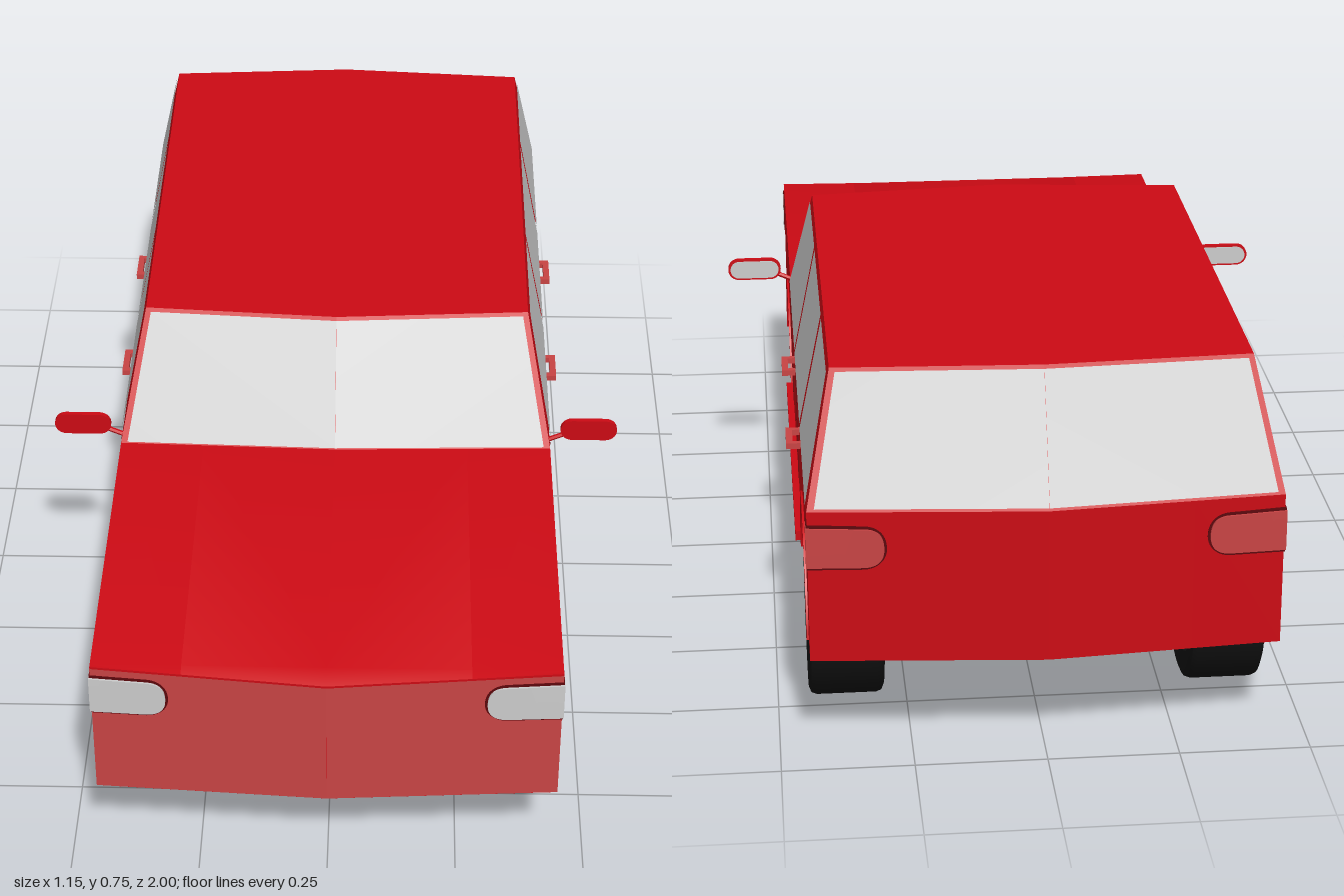
import * as THREE from 'three';
import { mergeGeometries, toCreasedNormals } from 'three/addons/utils/BufferGeometryUtils.js';

const paint = (color) => new THREE.MeshStandardMaterial({ color });
const RED = paint(0xcc0a14), PALE_RED = paint(0xc84444), DARK_RED = paint(0x5c060b);
const BLACK = paint(0x111111), GREY = paint(0xcccccc);

const HALF = 0.44, FLOOR = 0.21, BELT = 0.512, WHEEL_R = 0.175, ARCH_R = 0.212;
const AXLES = [0.58, -0.66];
const V = (x, y, z) => new THREE.Vector3(x, y, z);

// The nose and tail are bowed: furthest out on the centre line
const inward = (x) => 1 - Math.min(1, Math.abs(x) / HALF);
const noseZ = (x) => 0.97 + 0.028 * inward(x);
const tailZ = (x) => -0.965 - 0.035 * inward(x);

// Move every vertex by a rule
function warp(geo, rule) {
  const p = geo.attributes.position, v = new THREE.Vector3();
  for (let i = 0; i < p.count; i++) {
    v.fromBufferAttribute(p, i);
    rule(v);
    p.setXYZ(i, v.x, v.y, v.z);
  }
  return geo;
}

// Flat convex panel from its corners, lifted along its normal
function panel(points, lift = 0) {
  const n = V(0, 0, 0).crossVectors(
    points[1].clone().sub(points[0]), points[2].clone().sub(points[0])).normalize();
  const tri = [];
  for (let i = 1; i < points.length - 1; i++) {
    tri.push(...[points[0], points[i], points[i + 1]].map((p) => p.clone().addScaledVector(n, lift)));
  }
  return new THREE.BufferGeometry().setFromPoints(tri);
}

// Part of a four-cornered face: u along the base, v upwards
function inset([a, b, c, d], u0, u1, v0, v1) {
  const at = (u, v) => a.clone().lerp(b, u).lerp(d.clone().lerp(c, u), v);
  return [at(u0, v0), at(u1, v0), at(u1, v1), at(u0, v1)];
}

function box(x0, x1, y0, y1, z0, z1) {
  return new THREE.BoxGeometry(x1 - x0, y1 - y0, z1 - z0)
    .translate((x0 + x1) / 2, (y0 + y1) / 2, (z0 + z1) / 2);
}

const extrude = (shape, depth, curveSegments = 24) =>
  new THREE.ExtrudeGeometry(shape, { depth, bevelEnabled: false, curveSegments });

// Side-view shape (z, y) extruded between two x positions
const sideways = (shape, x0, x1) =>
  extrude(shape, x1 - x0).rotateY(-Math.PI / 2).translate(x1, 0, 0);

function mirrored(geo) {
  const g = geo.clone().scale(-1, 1, 1);
  for (const a of Object.values(g.attributes)) {
    const s = a.itemSize;
    for (let i = 0; i < a.count; i += 3) {
      for (let k = 0; k < s; k++) {
        const m = (i + 1) * s + k, t = a.array[m];
        a.array[m] = a.array[m + s];
        a.array[m + s] = t;
      }
    }
  }
  return g;
}

// Side profile of the lower body, with or without wheel arches
function bodyShape(arches) {
  const s = new THREE.Shape();
  s.moveTo(-0.965, FLOOR);
  if (arches) {
    const a = Math.asin((FLOOR - WHEEL_R) / ARCH_R);
    for (const z of [...AXLES].reverse()) {
      s.lineTo(z - ARCH_R * Math.cos(a), FLOOR);
      s.absarc(z, WHEEL_R, ARCH_R, Math.PI - a, a, true);
    }
  }
  [[0.97, FLOOR], [0.97, 0.505], [0.962, 0.505], [0.27, BELT], [-0.965, BELT]]
    .forEach(([z, y]) => s.lineTo(z, y));
  return s;
}

function bowBody(v) {
  if (v.z > 0.968) {
    if (v.y > 0.5) v.y -= 0.015 * inward(v.x);
    v.z = noseZ(v.x);
  } else if (v.z < -0.96) v.z = tailZ(v.x);
  else if (v.z > 0.2 && v.z < 0.3 && v.y > 0.5) v.y += 0.012 * inward(v.x);
}

// Lamp outline: rounded inner end, straight outer end; grow makes the rim
function lampShape(grow) {
  const l = 0.3 - grow, b = 0.403 - grow, t = 0.482 + grow, o = HALF + 0.003 - grow * 0.2;
  const s = new THREE.Shape();
  s.moveTo(o, b);
  s.lineTo(0.34, b);
  s.bezierCurveTo(0.315, b, l, 0.415, l, 0.44);
  s.bezierCurveTo(l, 0.465, 0.31, t - 0.004, 0.335, t - 0.003);
  s.lineTo(o, t);
  return s;
}

function ringShape(outer, inner, from, to) {
  const s = new THREE.Shape();
  s.absarc(0, 0, outer, from, to, false);
  s.absarc(0, 0, inner, to, from, true);
  return s;
}

export function createModel() {
  const car = new THREE.Group();
  car.name = 'stationWagon';

  // Every part is made on the left (+x) and mirrored to the right
  function add(name, geo, material, parent = car) {
    const flat = toCreasedNormals(geo.index ? geo.toNonIndexed() : geo, 0.5);
    for (const [side, g] of [['left', flat], ['right', mirrored(flat)]]) {
      const mesh = new THREE.Mesh(g, material);
      mesh.name = side + name;
      parent.add(mesh);
    }
  }

  // Lower body: solid core and outer flank with wheel arches
  add('BodyCore', warp(sideways(bodyShape(false), 0, 0.27), bowBody), RED);
  add('BodyFlank', warp(sideways(bodyShape(true), 0.27, HALF), bowBody), RED);
  add('FrontPanel', panel([V(0, 0.212, noseZ(0)), V(HALF, 0.212, 0.97),
    V(HALF, 0.502, 0.97), V(0, 0.487, noseZ(0))], 0.002), PALE_RED);

  // Cabin
  const base = [V(0, 0.524, 0.3), V(HALF, BELT, 0.27), V(HALF, BELT, -0.965), V(0, BELT, -1)];
  const roof = [V(0, 0.755, 0.16), V(0.39, 0.753, 0.13), V(0.39, 0.753, -0.865), V(0, 0.755, -0.89)];
  const faces = [0, 1, 2].map((i) => [base[i], base[i + 1], roof[i + 1], roof[i]]);
  add('CabinShell', mergeGeometries([...faces, roof].map((f) => panel(f))), RED);

  // Glass
  add('Windshield', panel(inset(faces[0], 0, 0.97, 0.01, 0.97), 0.003), GREY);
  add('RearWindow', panel(inset(faces[2], 0.03, 1, 0.02, 0.97), 0.003), GREY);
  const onSide = (z, y) => V(HALF - (y - BELT) * 0.05 / 0.241, y, z);
  const windows = { FrontDoor: [0.245, -0.17, 0.122], RearDoor: [-0.19, -0.562, -0.19], Cargo: [-0.585, -0.945, -0.585] };
  for (const [name, [front, back, frontTop]] of Object.entries(windows)) {
    const backTop = name === 'Cargo' ? -0.858 : back;
    add(name + 'Window', panel([onSide(front, 0.517), onSide(back, 0.517),
      onSide(backTop, 0.742), onSide(frontTop, 0.742)], 0.003), GREY);
  }

  // Lamps follow the bow of nose and tail
  for (const [name, end, lens] of [['Headlight', 1, GREY], ['TailLight', -1, PALE_RED]]) {
    for (const [part, grow, out, mat] of [['Rim', 0.005, 0.004, DARK_RED], ['Lens', 0, 0.008, lens]]) {
      const g = warp(extrude(lampShape(grow), 0.035), (v) => { v.z += noseZ(v.x) - 0.035 + out; });
      if (end < 0) g.rotateY(Math.PI).translate(0, 0, 0.005);
      add(name + part, g, mat);
    }
  }

  // Doors: seams, handles and sill
  for (const z of [0.25, -0.18]) add('DoorSeam', box(0.43, HALF + 0.001, 0.232, BELT, z - 0.002, z + 0.002), DARK_RED);
  for (const z of [-0.105, -0.49]) {
    add('DoorHandle', mergeGeometries([
      box(0.455, 0.468, 0.45, 0.462, z - 0.04, z + 0.04),
      box(0.435, 0.458, 0.45, 0.462, z - 0.04, z - 0.028),
      box(0.435, 0.458, 0.45, 0.462, z + 0.028, z + 0.04)]), PALE_RED);
  }
  add('Sill', box(0.43, 0.454, FLOOR, 0.23, -0.44, 0.36), RED);

  // Door mirrors
  const pill = (w, h) => {
    const s = new THREE.Shape(), r = h / 2, c = w / 2 - r;
    s.absarc(c, 0, r, -Math.PI / 2, Math.PI / 2, false);
    s.absarc(-c, 0, r, Math.PI / 2, Math.PI * 1.5, false);
    return s;
  };
  add('MirrorShell', extrude(pill(0.115, 0.047), 0.01, 8).translate(0.518, 0.547, 0.245), RED);
  add('MirrorGlass', extrude(pill(0.105, 0.038), 0.004, 8).translate(0.518, 0.547, 0.242), GREY);
  add('MirrorStem', new THREE.TubeGeometry(
    new THREE.LineCurve3(V(0.43, 0.518, 0.25), V(0.48, 0.54, 0.25)), 1, 0.005, 6), RED);

  // Wheels, modelled facing +z and turned outwards
  const tyre = [[0.122, -0.066], [0.16, -0.0725], [0.171, -0.068], [WHEEL_R, -0.058], [WHEEL_R, 0.058],
    [0.171, 0.068], [0.16, 0.0725], [0.122, 0.066], [0.122, -0.066]].map(([r, y]) => new THREE.Vector2(r, y));
  const spoke = new THREE.Shape([[0.025, -0.003], [0.119, -0.0145], [0.119, 0.0145], [0.025, 0.003]]
    .map(([x, y]) => new THREE.Vector2(x, y)));
  const spokes = [];
  for (let i = 0; i < 20; i++) {
    spokes.push(extrude(spoke, 0.02).translate(0, 0, 0.035).rotateZ(i * Math.PI / 10));
  }
  const disc = (r, z0, z1) => new THREE.CylinderGeometry(r, r, z1 - z0, 40)
    .rotateX(Math.PI / 2).translate(0, 0, (z0 + z1) / 2);
  AXLES.forEach((z, i) => {
    const wheels = new THREE.Group();
    wheels.name = i ? 'rearWheels' : 'frontWheels';
    car.add(wheels);
    const put = (name, geo, mat) =>
      add(name, geo.rotateY(Math.PI / 2).translate(0.3675, WHEEL_R, z), mat, wheels);
    put('Tyre', new THREE.LatheGeometry(tyre, 48).rotateX(Math.PI / 2), BLACK);
    put('RimBack', disc(0.122, -0.05, 0.025), GREY);
    put('RimShadow', disc(0.122, 0.025, 0.032), BLACK);
    put('Spokes', mergeGeometries(spokes), GREY);
    put('RimEdge', new THREE.TorusGeometry(0.12, 0.004, 6, 48).translate(0, 0, 0.062), GREY);
    put('Hub', disc(0.029, 0.03, 0.062), GREY);

    // Arch lip
    const a = Math.asin((FLOOR - WHEEL_R) / 0.222);
    add('ArchLip', sideways(ringShape(0.222, 0.2, a, Math.PI - a), 0.425, 0.444)
      .translate(0, WHEEL_R, z), RED);
  });
  return car;
}
